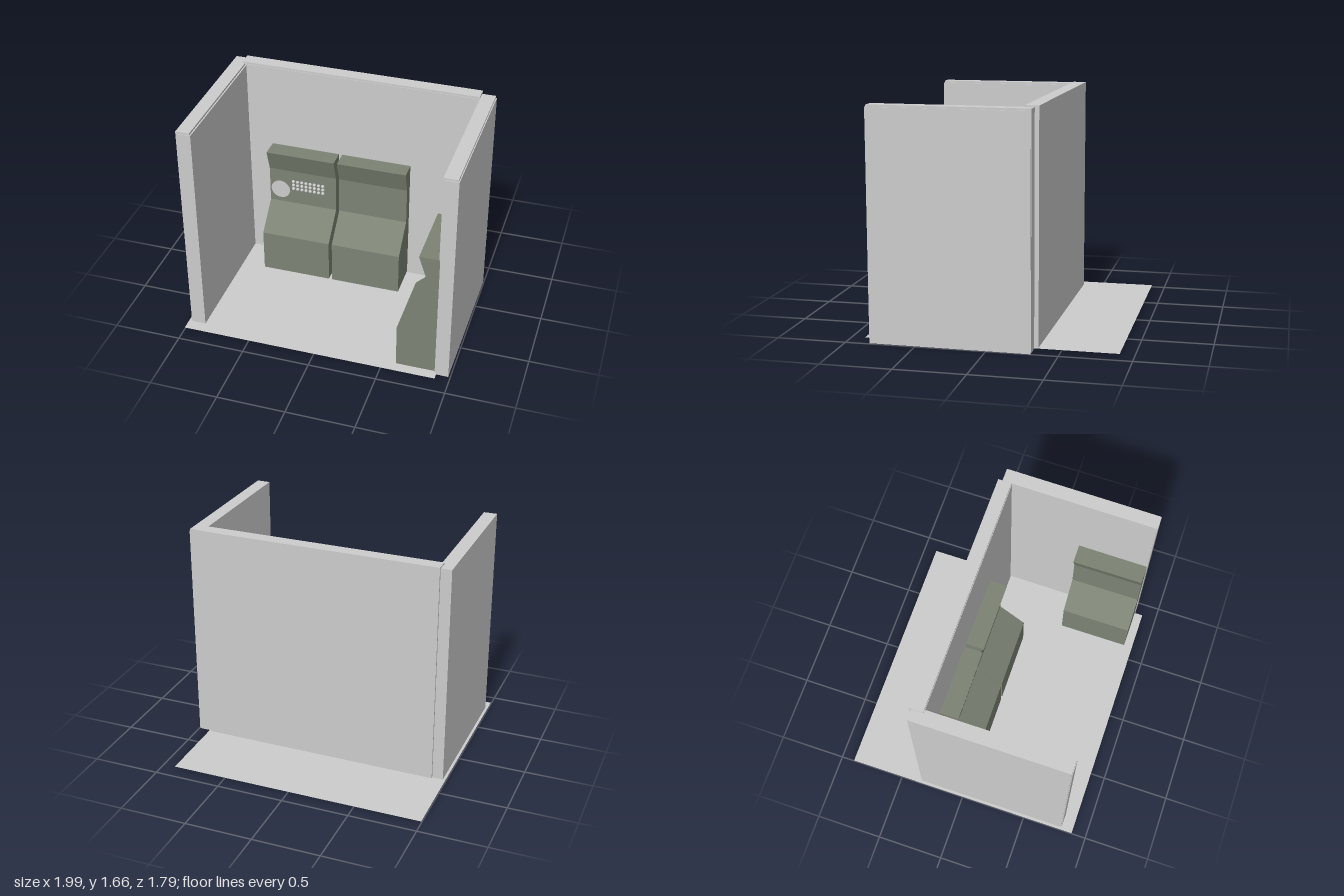
import * as THREE from 'three';

export function createModel() {
  const model = new THREE.Group();
  model.name = 'controlRoom';
  const panelGrey = new THREE.MeshStandardMaterial({ color: 0xcccccc, side: THREE.DoubleSide });
  panelGrey.name = 'panel grey';
  const consoleGreen = new THREE.MeshStandardMaterial({ color: 0x7c8374 });
  consoleGreen.name = 'console green';

  function add(name, geometry, material, x, y, z, parent = model) {
    const mesh = new THREE.Mesh(geometry, material);
    mesh.name = name;
    mesh.position.set(x, y, z);
    parent.add(mesh);
    return mesh;
  }

  // Box given by its limits on each axis, optionally turned a little
  function slab(name, [x0, x1], [y0, y1], [z0, z1], turn = 0) {
    const box = new THREE.BoxGeometry(x1 - x0, y1 - y0, z1 - z0);
    const mesh = add(name, box, panelGrey, (x0 + x1) / 2, (y0 + y1) / 2, (z0 + z1) / 2);
    mesh.rotation.y = turn;
  }

  // Floor sheet
  const floor = new THREE.PlaneGeometry(1.9, 1.79).rotateX(-Math.PI / 2);
  add('floor', floor, panelGrey, -0.05, 0.014, -0.005);

  // Each wall is a pair of slightly offset panels
  slab('rightWallOuter', [-0.98, -0.88], [0.015, 1.655], [-0.34, 0.798]);
  slab('rightWallInner', [-0.97, -0.87], [0, 1.64], [-0.335, 0.803]);
  slab('leftWallInner', [0.883, 0.983], [0.015, 1.655], [-0.313, 0.824], -0.008);
  slab('leftWallOuter', [0.89, 0.99], [0, 1.64], [-0.31, 0.83], -0.008);
  slab('backWallOuter', [-0.9, 0.885], [0.015, 1.665], [-0.349, -0.25], -0.0065);
  slab('backWallInner', [-0.895, 0.88], [0.015, 1.65], [-0.342, -0.246], -0.0065);

  // Console desk: stepped profile with a sloping desk and an overhanging hood
  const profile = new THREE.Shape([
    [0.02, 0.025], [-0.28, 0.025], [-0.28, 0.355], [-0.085, 0.545],
    [-0.085, 0.83], [-0.14, 1.0], [0.02, 1.0],
  ].map(([x, y]) => new THREE.Vector2(x, y)));
  const desk = new THREE.ExtrudeGeometry(profile, { depth: 0.53, bevelEnabled: false });
  add('backConsoleA', desk, consoleGreen, -0.685, 0, -0.25).rotation.y = Math.PI / 2;
  add('backConsoleB', desk, consoleGreen, -0.13, 0, -0.25).rotation.y = Math.PI / 2;
  add('sideConsole', desk, consoleGreen, 0.88, 0, 0.295);

  // Round screen on the first console
  add('screen', new THREE.CircleGeometry(0.075, 32), panelGrey, -0.6, 0.655, -0.162);

  // Grid of round buttons beside it
  const buttons = new THREE.Group();
  buttons.name = 'buttons';
  model.add(buttons);
  const ball = new THREE.SphereGeometry(0.0135, 16, 12);
  for (let row = 0; row < 3; row++) {
    for (let col = 0; col < 8; col++) {
      add('button', ball, panelGrey, -0.495 + col * 0.0336, 0.676 + row * 0.032, -0.163, buttons);
    }
  }

  return model;
}
